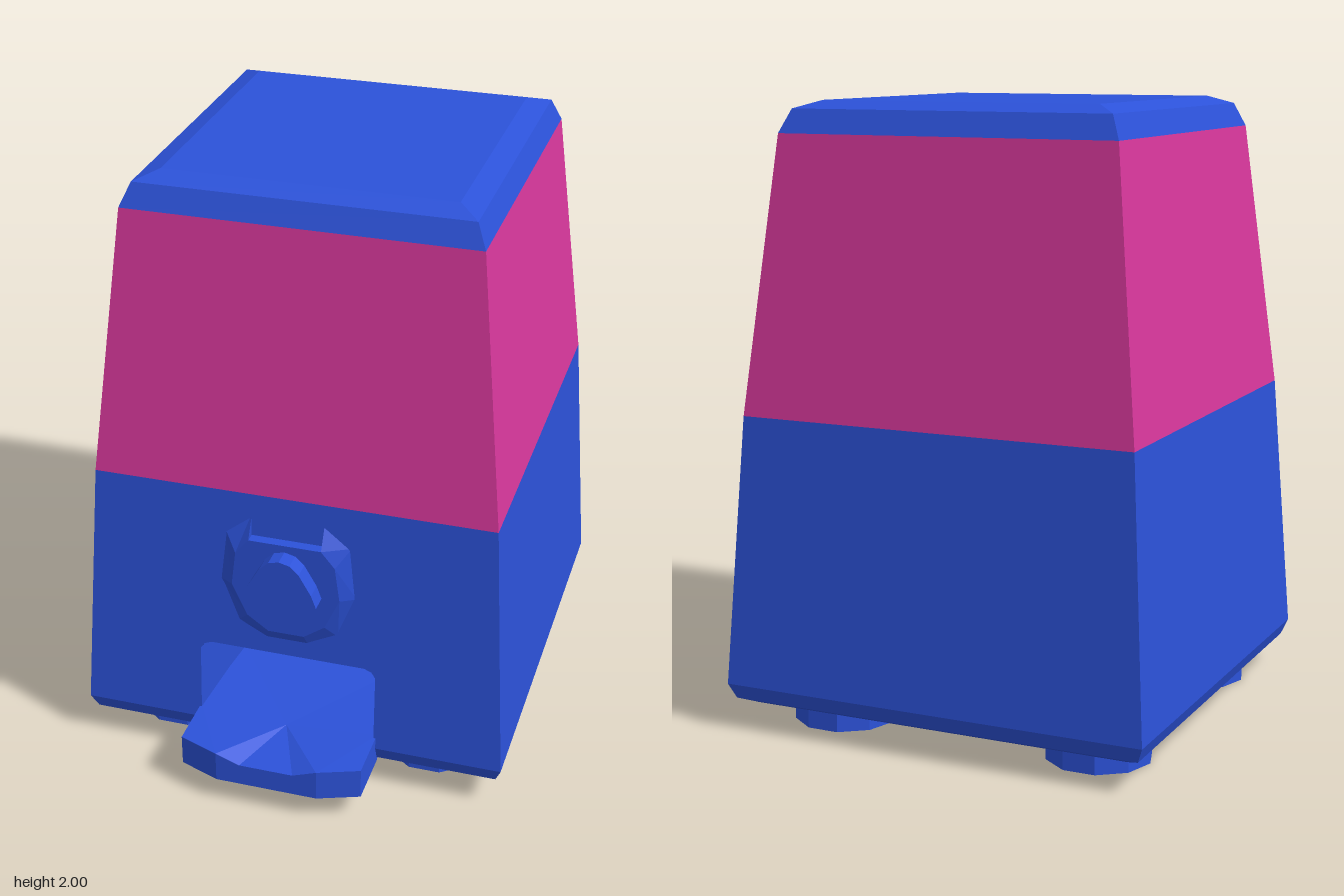
import * as THREE from 'three';

const BLUE = 0x2c52d9, PINK = 0xd9389d;
const ZC = -0.113; // body centre in z
const XC = -0.012; // centre line of the front fittings

const material = (color) => new THREE.MeshStandardMaterial({ color, flatShading: true, side: THREE.DoubleSide });
const mats = { blue: material(BLUE), pink: material(PINK) };

function add(group, name, geometry, mat = mats.blue) {
  const mesh = new THREE.Mesh(geometry, mat);
  mesh.name = name;
  group.add(mesh);
  return mesh;
}

// Faces given as corner lists (counter-clockwise from outside), fanned into triangles
function polyGeometry(faces) {
  const pos = [];
  for (const f of faces)
    for (let i = 1; i < f.length - 1; i++) pos.push(...f[0], ...f[i], ...f[i + 1]);
  const g = new THREE.BufferGeometry();
  g.setAttribute('position', new THREE.Float32BufferAttribute(pos, 3));
  g.computeVertexNormals();
  return g;
}

// Side faces between two rings of equal length
function band(a, b) {
  return a.map((p, i) => {
    const j = (i + 1) % a.length;
    return [p, a[j], b[j], b[i]];
  });
}

// Square ring, first edge on the front
const square = ([y, h]) => [[-h, y, ZC + h], [h, y, ZC + h], [h, y, ZC - h], [-h, y, ZC - h]];

// Front wall of the lower body
const frontZ = (y) => ZC + THREE.MathUtils.mapLinear(y, 0.15, 1.02, 0.713, 0.66);

function stack(levels, capBottom, capTop) {
  const rings = levels.map(square);
  const faces = [];
  for (let i = 0; i < rings.length - 1; i++) faces.push(...band(rings[i], rings[i + 1]));
  if (capBottom) faces.push([...rings[0]].reverse());
  if (capTop) faces.push(rings[rings.length - 1]);
  return faces;
}

export function createModel() {
  const model = new THREE.Group();
  model.name = 'dispenser';

  // Lower body: chamfered foot edge, then a tapered wall left open at the front
  const lower = stack([[0.075, 0.64], [0.1, 0.693], [0.15, 0.713]], true, false);
  const wall = stack([[0.15, 0.713], [1.02, 0.66]], false, false).slice(1);
  add(model, 'lowerBody', polyGeometry([...lower, ...wall]));

  // Front wall with the outlet opening
  const opening = [[-0.298, 0.155], [0.298, 0.155], [0.298, 0.42], [0.285, 0.44], [0.26, 0.45],
    [-0.26, 0.45], [-0.285, 0.44], [-0.298, 0.42]].map(([x, y]) => [x + XC, y]);
  const panel = new THREE.Shape([[-0.713, 0.15], [0.713, 0.15], [0.66, 1.02], [-0.66, 1.02]]
    .map(([x, y]) => new THREE.Vector2(x, y)));
  panel.holes.push(new THREE.Path(opening.map(([x, y]) => new THREE.Vector2(x, y))));
  const front = new THREE.ShapeGeometry(panel);
  const fp = front.attributes.position;
  for (let i = 0; i < fp.count; i++) fp.setZ(i, frontZ(fp.getY(i)));
  front.computeVertexNormals();
  add(model, 'frontWall', front);

  // Outlet recess narrowing towards its back wall
  const mouth = opening.map(([x, y]) => [x, y, frontZ(y)]);
  const rear = opening.map(([x, y]) => [XC + (x - XC) * 0.92, y > 0.3 ? y - 0.03 : y, 0.22]);
  add(model, 'outletRecess', polyGeometry([...band(rear, mouth), rear]));

  // Tray: runs from the recess out in front, with a dip in its lip
  const outline = [[-0.27, 0.23], [-0.305, 0.58], [-0.305, 0.77], [-0.17, 0.82], [-0.09, 0.82],
    [0.09, 0.82], [0.17, 0.82], [0.305, 0.77], [0.305, 0.58], [0.27, 0.23]];
  const trayTop = outline.map(([x, z]) => [x + XC, Math.abs(x) < 0.1 ? 0.16 : 0.19, z]);
  const trayBase = outline.map(([x, z]) => [x + XC, 0.085, z]);
  const [t0, t1, t2, t3, t4, t5, t6, t7, t8, t9] = trayTop;
  const mid = [XC, 0.18, 0.6];
  add(model, 'tray', polyGeometry([
    ...band(trayBase, trayTop), [...trayBase].reverse(),
    [t0, t1, mid], [t1, t2, t3, mid], [t3, t4, mid], [t4, t5, mid],
    [t5, t6, mid], [t6, t7, t8, mid], [t8, t9, mid], [t9, t0, mid],
  ]));

  // Sloped boss around the knob, notched at the top for the slot
  // each row: x and y on the wall, x and y on the raised face
  const half = [[0.07, 0.5, 0.06, 0.54], [0.17, 0.55, 0.13, 0.59], [0.23, 0.7, 0.18, 0.7],
    [0.21, 0.88, 0.165, 0.82], [0.12, 0.95, 0.12, 0.875], [0.12, 0.875, 0.12, 0.875]];
  const bossRows = [...half, ...half.map(([a, b, c, d]) => [-a, b, -c, d]).reverse()];
  const bossBase = bossRows.map(([x, y]) => [x + XC, y, frontZ(y) - 0.004]);
  const bossFace = bossRows.map(([, , x, y]) => [x + XC, y, 0.59]);
  add(model, 'knobBoss', polyGeometry([...band(bossBase, bossFace), bossFace]));

  // Knob: rounded triangle
  const side = [[0.05, 0.627], [0.1, 0.65], [0.121, 0.7], [0.105, 0.745], [0.065, 0.815], [0.035, 0.843]];
  const knobShape = new THREE.Shape([[0, 0.62], ...side, [0, 0.852],
    ...side.map(([x, y]) => [-x, y]).reverse()].map(([x, y]) => new THREE.Vector2(x + XC, y)));
  add(model, 'knob', new THREE.ExtrudeGeometry(knobShape, { depth: 0.07, bevelEnabled: false }))
    .position.z = 0.58;

  // Hopper and lid
  add(model, 'hopper', polyGeometry(stack([[1.02, 0.66], [1.9, 0.567]], false, false)), mats.pink);
  add(model, 'lid', polyGeometry(stack([[1.9, 0.567], [1.975, 0.535], [2, 0.465]], false, true)));

  // Feet
  const footGeometry = new THREE.CylinderGeometry(0.17, 0.17, 0.08, 10, 1, false, Math.PI / 2);
  for (const x of [-0.465, 0.43])
    for (const z of [0.318, -0.553])
      add(model, 'foot', footGeometry).position.set(x, 0.04, z);

  return model;
}
